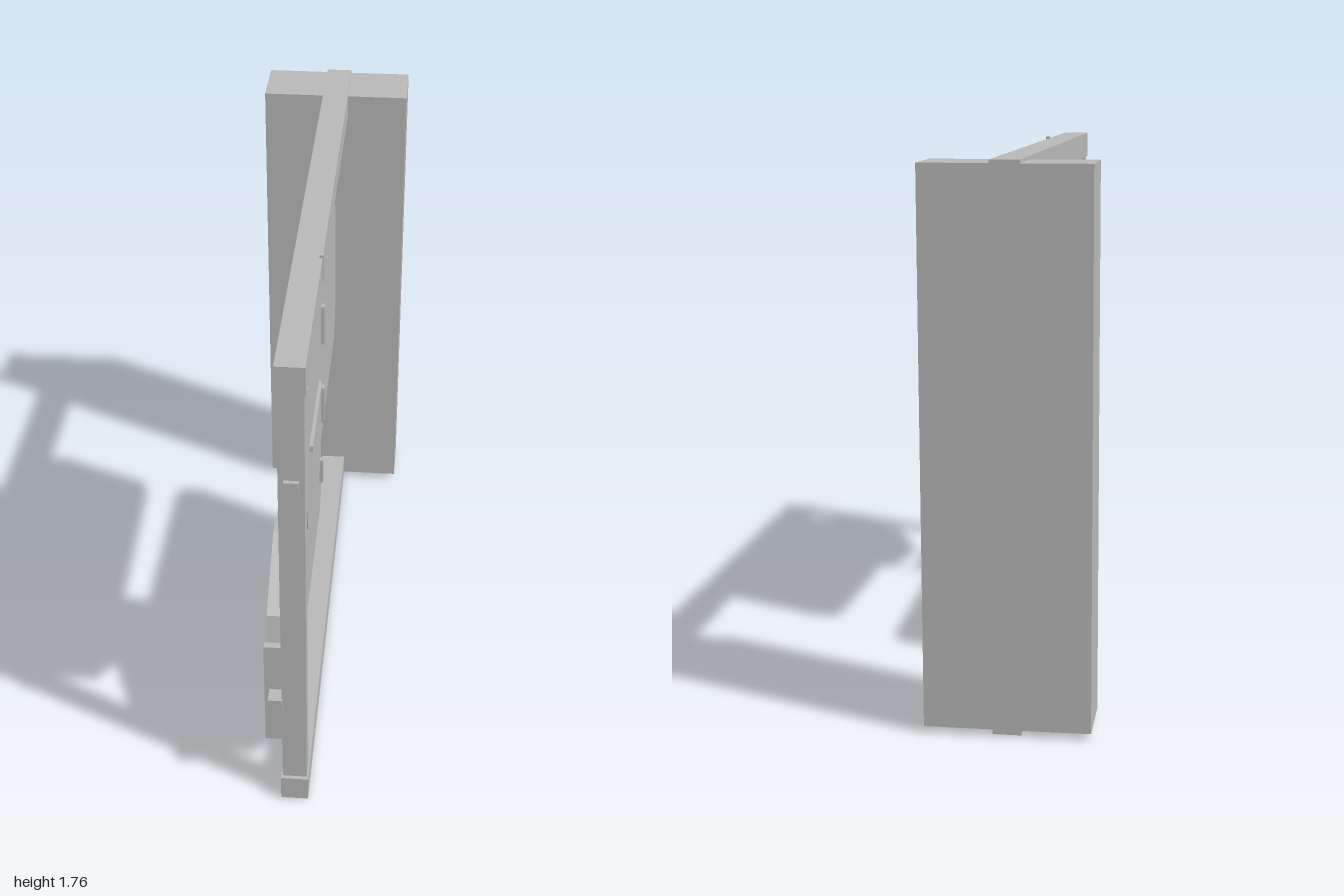
import * as THREE from 'three';

const grey = new THREE.MeshStandardMaterial({ color: 0xb8b8b8 });
grey.name = 'plain grey';

// Box given by its minimum and maximum on each axis
function box(parent, name, [x0, x1], [y0, y1], [z0, z1]) {
  const mesh = new THREE.Mesh(new THREE.BoxGeometry(x1 - x0, y1 - y0, z1 - z0), grey);
  mesh.position.set((x0 + x1) / 2, (y0 + y1) / 2, (z0 + z1) / 2);
  mesh.name = name;
  parent.add(mesh);
}

// Half outline of the wide front end, as [z, height from the panel's centre line]
const frontEnd = [[0.906, 0.088], [0.86, 0.26], [0.63, 0.413], [0.378, 0.376], [0.398, 0.294]];

// Panel with its ribs, pivot and end plate; rear lists the [z, y] corners from top to bottom
function makePanel(name, x, y, rear) {
  const group = new THREE.Group();
  group.name = name;
  group.position.set(x, y, 0);

  // Panel slab, drawn in the side plane and extruded across x
  const outline = [
    ...frontEnd,
    ...rear,
    ...frontEnd.map(([z, h]) => [z, -h]).reverse(),
  ];
  const shape = new THREE.Shape(outline.map(([z, h]) => new THREE.Vector2(-z, h)));
  const slab = new THREE.ExtrudeGeometry(shape, { depth: 0.074, bevelEnabled: false });
  slab.translate(0, 0, -0.037).rotateY(Math.PI / 2);
  const mesh = new THREE.Mesh(slab, grey);
  mesh.name = 'panelSlab';
  group.add(mesh);

  // Thin ribs on the left face
  const ribX = [0.035, 0.048];
  box(group, 'longRib', ribX, [-0.01, 0.01], [0.45, 0.8]);
  for (const s of [-1, 1]) {
    const span = (a, b) => (s > 0 ? [a, b] : [-b, -a]);
    box(group, 'uprightRib', ribX, span(0.085, 0.224), [0.332, 0.355]);
    box(group, 'edgeRib', ribX, span(0.345, 0.436), [0.38, 0.4]);
  }

  // Pivot block and upright end plate at the front
  box(group, 'pivotBlock', [-0.023, 0.023], [-0.023, 0.023], [0.9, 1]);
  box(group, 'endPlate', [-0.039, 0.039], [-0.206, 0.206], [0.926, 0.948]);
  return group;
}

export function createModel() {
  const model = new THREE.Group();
  model.name = 'panelFrame';

  // Rear column and the frame
  box(model, 'rearColumn', [-0.258, 0.258], [0.022, 1.74], [-1, -0.79]);
  box(model, 'bottomBeam', [-0.045, 0.045], [0.007, 0.1], [-1, 1]);
  box(model, 'topBeam', [-0.045, 0.045], [1.658, 1.75], [-1, 1]);
  box(model, 'frontPost', [-0.04, 0.04], [0.1, 1.658], [0.922, 0.987]);

  // Lower panel hangs beside the frame, upper panel sits inside it
  model.add(makePanel('lowerPanel', -0.06, 0.437,
    [[-0.355, 0.281], [-0.41, 0.248], [-0.41, -0.248], [-0.355, -0.281]]));
  model.add(makePanel('upperPanel', 0, 1.323,
    [[-0.245, 0.268], [-0.28, 0.232], [-0.303, -0.238], [-0.245, -0.271]]));
  return model;
}
